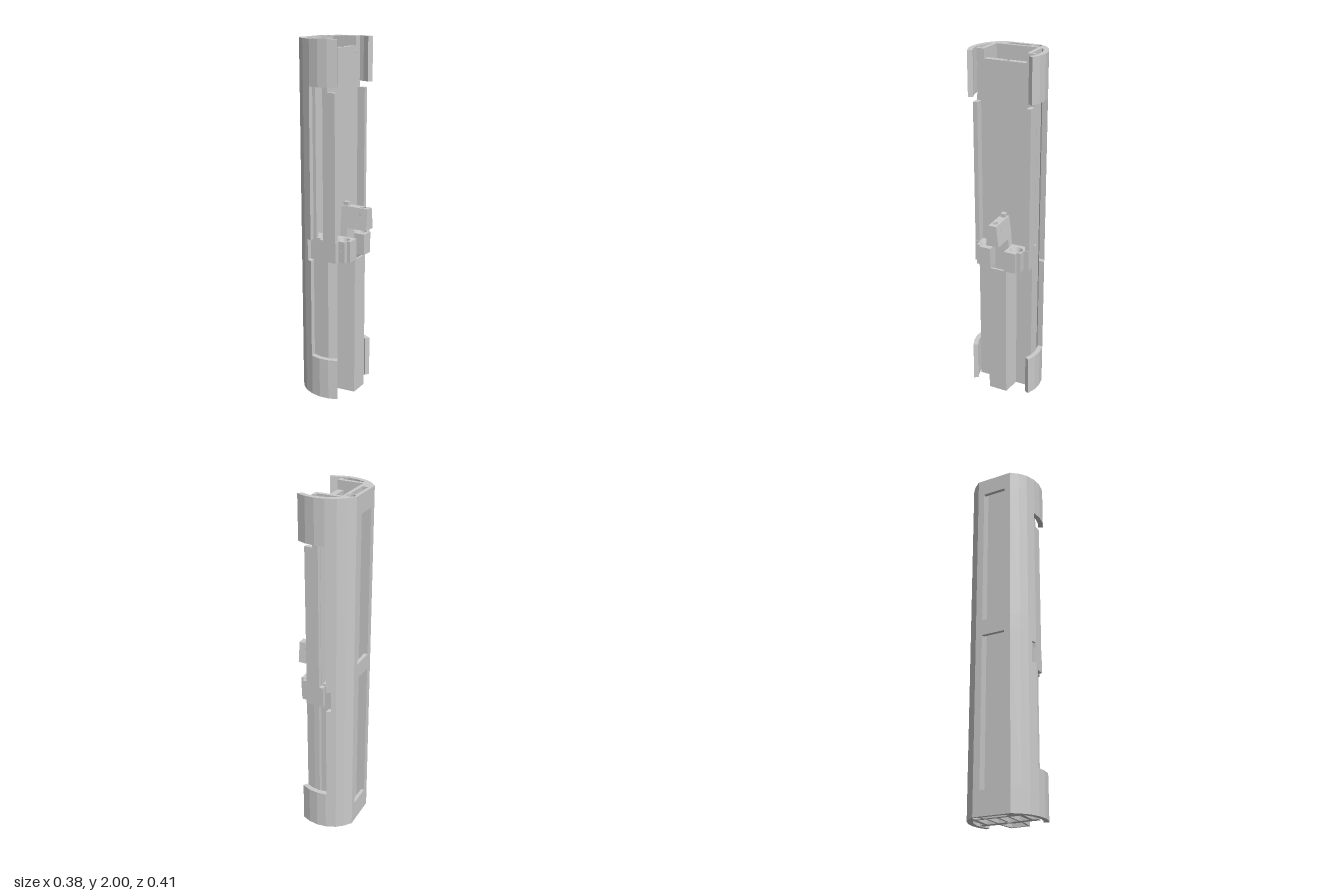
import * as THREE from 'three';

const mat = new THREE.MeshStandardMaterial({ color: 0xcccccc, flatShading: true, side: THREE.DoubleSide });

export function createModel() {
  const model = new THREE.Group();

  const add = (name, geo) => {
    const mesh = new THREE.Mesh(geo, mat);
    mesh.name = name;
    model.add(mesh);
    return mesh;
  };
  // vertical prism from a plan outline of [x, z] points; holes are [x, z, radius]
  const prism = (pts, y0, y1, holes = [], cutouts = []) => {
    const flip = (list) => list.map(([x, z]) => new THREE.Vector2(x, -z));
    const shape = new THREE.Shape(flip(pts));
    for (const [x, z, r] of holes) shape.holes.push(new THREE.Path().absarc(x, -z, r, 0, Math.PI * 2, true));
    for (const c of cutouts) shape.holes.push(new THREE.Path(flip(c)));
    const geo = new THREE.ExtrudeGeometry(shape, { depth: y1 - y0, bevelEnabled: false, curveSegments: 16 });
    return geo.rotateX(-Math.PI / 2).translate(0, y0, 0);
  };
  const rect = (x0, x1, z0, z1) => [[x0, z0], [x1, z0], [x1, z1], [x0, z1]];
  const box = (name, x0, x1, y0, y1, z0, z1) => add(name,
    new THREE.BoxGeometry(x1 - x0, y1 - y0, Math.abs(z1 - z0)).translate((x0 + x1) / 2, (y0 + y1) / 2, (z0 + z1) / 2));

  // flat back of the shell: closed slot layers alternate with open windows
  const corner = [[-0.117, 0.118], [-0.117, 0.178], [-0.155, 0.147], [-0.188, 0.105]];
  const mirrored = corner.map(([x, z]) => [x, -z]).reverse();
  const slot = rect(-0.168, -0.137, -0.067, 0.067);
  const notch = [[-0.188, 0.067], [-0.137, 0.067], [-0.137, -0.067], [-0.188, -0.067]];
  const bore = [[-0.153, -0.097, 0.022]];
  for (const [y0, y1] of [[0, 0.13], [0.98, 1.07], [1.9, 2]])
    add('shellBack', prism([...corner, ...mirrored], y0, y1, bore, [slot]));
  for (const [y0, y1] of [[0.13, 0.98], [1.07, 1.9]])
    add('shellBackWindow', prism([...corner, ...notch, ...mirrored], y0, y1, bore));

  // curved shell arms, cut back to xEnd between the end caps
  const outer = [[-0.117, 0.178], [-0.062, 0.2], [-0.008, 0.207], [0.045, 0.2], [0.095, 0.18]];
  const inner = [[-0.117, 0.14], [-0.095, 0.155], [-0.055, 0.172], [-0.008, 0.18], [0.043, 0.172], [0.08, 0.155]];
  const clip = (line, xEnd) => {
    const out = [];
    for (let i = 0; i < line.length; i++) {
      const [x, z] = line[i];
      if (x < xEnd) { out.push([x, z]); continue; }
      const [px, pz] = line[i - 1];
      out.push([xEnd, pz + (z - pz) * (xEnd - px) / (x - px)]);
      break;
    }
    return out;
  };
  const layers = [[0, 0.24, 1], [0.24, 0.81, -0.066], [0.81, 0.93, -0.092], [0.93, 1.76, -0.066], [1.76, 2, 1]];

  // central plate: vertical bore, notched top
  add('centrePlate', prism(rect(-0.008, 0.025, -0.12, 0.12), 0, 1.95, [[0.007, 0, 0.0145]]));

  for (const s of [1, -1]) {
    const side = (pts) => pts.map(([x, z]) => [x, z * s]);
    for (const [y0, y1, xEnd] of layers)
      add('shellArm', prism(side([...clip(outer, xEnd), ...clip(inner, xEnd).reverse()]), y0, y1));

    // channel side walls, open beside the upper window
    box('channelWall', -0.117, -0.008, 0, 0.81, s * 0.118, s * 0.14);
    box('channelWall', -0.117, -0.092, 0.81, 0.93, s * 0.118, s * 0.14);
    box('channelWall', -0.117, -0.066, 0.93, 1.76, s * 0.118, s * 0.14);
    box('channelWall', -0.117, -0.008, 1.76, 2, s * 0.118, s * 0.14);

    // plate edges reach past the channel; rails run above the socket blocks
    box('plateEdge', -0.008, 0.025, 0, 2, s * 0.12, s * 0.14);
    box('plateLip', -0.006, 0.025, 0, 1.76, s * 0.14, s * 0.165);
    box('plateLipTop', 0.008, 0.025, 1.76, 2, s * 0.14, s * 0.162);
    box('sideRail', 0.025, 0.07, 0.93, 1.73, s * 0.14, s * 0.165);
    box('railClip', -0.03, 0.074, 0.81, 0.93, s * 0.135, s * 0.165);

    // small holes near the top of the plate
    const rivet = add('plateHole', new THREE.CylinderGeometry(0.008, 0.008, 0.002, 12).rotateZ(Math.PI / 2));
    rivet.position.set(0.025, 1.92, s * 0.128);

    // lower rear compartments
    box('rearPartition', -0.117, -0.008, 0, 0.81, s * 0.055, s * 0.066);

    // socket blocks with countersunk bores
    const sockets = [
      [-0.063, [[-0.117, 0.055], [-0.008, 0.055], [-0.008, 0.118], [-0.03, 0.118], [-0.03, 0.14], [-0.092, 0.14], [-0.092, 0.13], [-0.117, 0.13]]],
      [0.08, [[0.025, 0.042], [0.132, 0.042], [0.132, 0.11], [0.113, 0.11], [0.113, 0.135], [0.025, 0.135]]],
    ];
    for (const [x, outline] of sockets) {
      add('socketBlock', prism(side(outline), 0.81, 0.93, [[x, s * 0.093, 0.034]]));
      const profile = [[0.034, 0.93], [0.017, 0.87], [0.017, 0.81], [0.0345, 0.81]].map((p) => new THREE.Vector2(...p));
      add('socketFunnel', new THREE.LatheGeometry(profile, 28).translate(x, 0, s * 0.093));
      const pin = add('socketPin', new THREE.CylinderGeometry(0.008, 0.008, 0.002, 12).rotateX(Math.PI / 2));
      pin.position.set(x < 0 ? x : 0.085, 0.87, s * (x < 0 ? 0.14 : 0.135));
    }

    // cross pin ends on the slide flanks
    const slidePin = add('slidePin', new THREE.CylinderGeometry(0.008, 0.008, 0.005, 12).rotateX(Math.PI / 2));
    slidePin.position.set(0.145, 1.065, s * 0.0255);
  }
  box('rearRib', -0.117, -0.008, 0, 0.81, -0.006, 0.006);

  // hollow column standing out from the middle of the plate
  add('frontColumn', prism(
    [[0.025, -0.07], [0.13, -0.055], [0.13, 0.055], [0.025, 0.07]], 0, 0.81, [],
    [[[0.03, -0.058], [0.118, -0.044], [0.118, 0.044], [0.03, 0.058]]]));

  // sliding block: plan with a bore, flanks leaning in towards the top
  const lean = (geo, y0, y1, top) => {
    const p = geo.attributes.position;
    for (let i = 0; i < p.count; i++) {
      const t = (p.getY(i) - y0) / (y1 - y0);
      if (Math.abs(p.getZ(i)) > 0.03) p.setZ(i, p.getZ(i) * (1 + t * (top - 1)));
    }
    geo.computeVertexNormals();
    return geo;
  };
  add('slideBlock', lean(prism(rect(0.025, 0.188, -0.038, 0.038), 0.98, 1.1, [[0.147, 0, 0.017]]), 0.98, 1.1, 0.6));
  add('slideTail', lean(prism(rect(-0.065, -0.008, -0.038, 0.038), 0.98, 1.1), 0.98, 1.1, 0.6));
  box('slideTailFoot', -0.052, -0.008, 0.93, 0.98, -0.036, 0.036);

  // tapered stem carrying the slide, with a small nub on top
  add('slideStem', lean(prism(rect(0.025, 0.068, -0.055, 0.055), 0.81, 0.98), 0.81, 0.98, 0.65));
  box('slideNub', 0.03, 0.06, 1.1, 1.12, -0.013, 0.013);

  return model;
}
